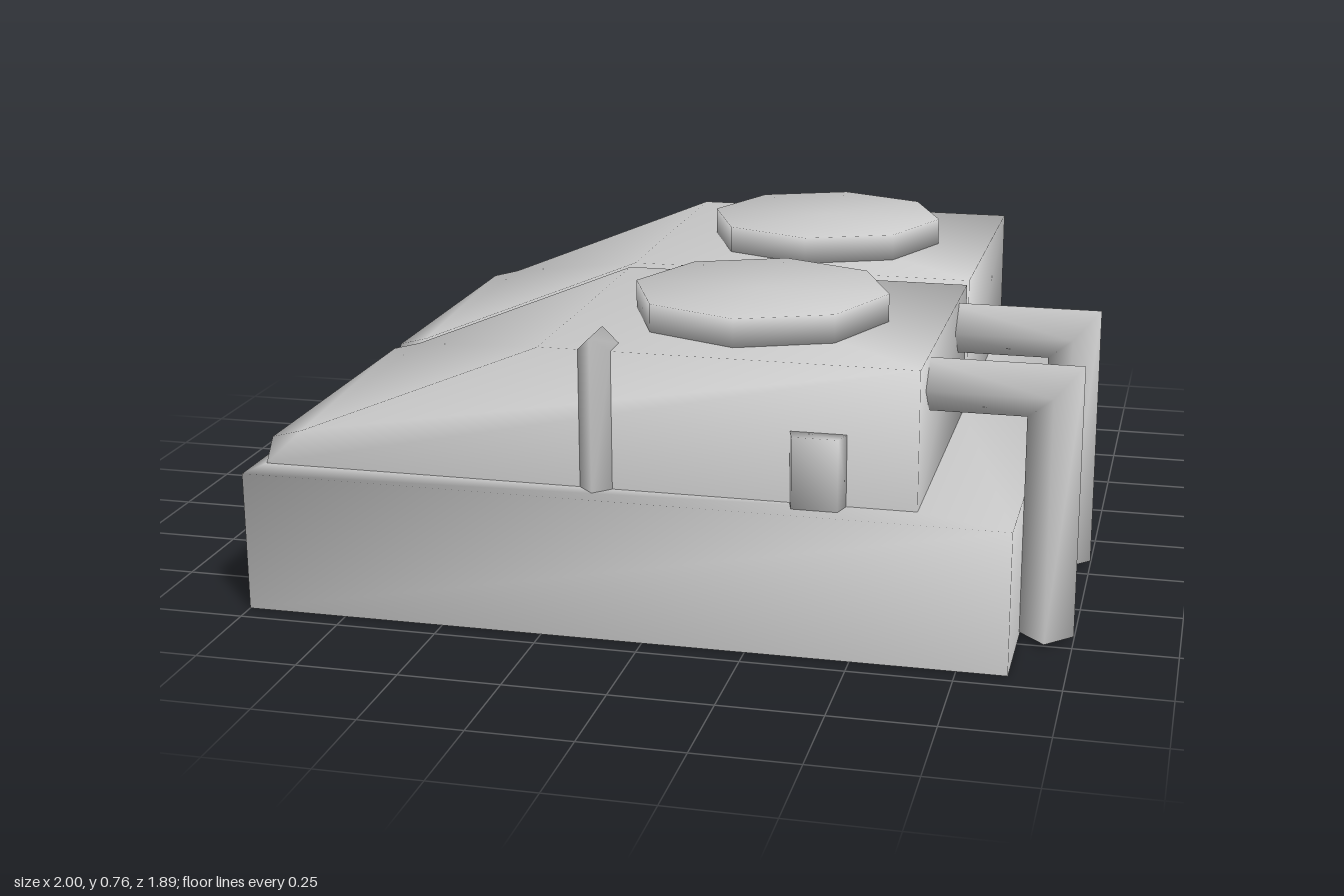
import * as THREE from 'three';
import { mergeGeometries, mergeVertices } from 'three/addons/utils/BufferGeometryUtils.js';

const material = new THREE.MeshStandardMaterial({ color: 0xcccccc, side: THREE.DoubleSide });
const BASE_TOP = 0.35;

// Triangle soup of positions, without the triangles lying flat at one of the given heights
function openAt(geometry, ...heights) {
  const p = (geometry.index ? geometry.toNonIndexed() : geometry).attributes.position.array;
  const kept = [];
  for (let i = 0; i < p.length; i += 9) {
    const flat = heights.some(h => [1, 4, 7].every(k => Math.abs(p[i + k] - h) < 1e-4));
    if (!flat) kept.push(...p.slice(i, i + 9));
  }
  return new THREE.BufferGeometry().setAttribute('position', new THREE.Float32BufferAttribute(kept, 3));
}

// Shared vertices give the soft, averaged shading
function smooth(...geometries) {
  const g = mergeVertices(mergeGeometries(geometries), 1e-4);
  g.computeVertexNormals();
  return g;
}

function polygon(points) {
  return new THREE.Shape(points.map(([x, y]) => new THREE.Vector2(x, y)));
}

function rectangle(x0, x1, y0, y1) {
  return polygon([[x0, y0], [x1, y0], [x1, y1], [x0, y1]]);
}

// Four-sided pipe with mitred bends; side is the vector across the plane of the path
function pipe(points, radius, side) {
  const path = points.map(p => new THREE.Vector3(...p));
  const normals = path.slice(1).map((p, i) => side.clone().cross(p.clone().sub(path[i]).normalize()));
  const position = [], index = [];
  path.forEach((p, i) => {
    const a = normals[Math.max(i - 1, 0)], b = normals[Math.min(i, normals.length - 1)];
    const mitre = a.clone().add(b).divideScalar(1 + a.dot(b));
    for (const [u, s] of [[1, 0], [0, 1], [-1, 0], [0, -1]]) {
      position.push(...p.clone().addScaledVector(mitre, u * radius).addScaledVector(side, s * radius).toArray());
    }
    if (i === 0) return;
    for (let k = 0; k < 4; k++) {
      const n = (k + 1) % 4, r = (i - 1) * 4;
      index.push(r + k, r + n, r + 4 + n, r + k, r + 4 + n, r + 4 + k);
    }
  });
  const e = (path.length - 1) * 4;
  index.push(0, 2, 1, 0, 3, 2, e, e + 1, e + 2, e, e + 2, e + 3);
  const g = new THREE.BufferGeometry();
  g.setAttribute('position', new THREE.Float32BufferAttribute(position, 3));
  g.setIndex(index);
  g.computeVertexNormals();
  return g;
}

export function createModel() {
  const group = new THREE.Group();
  const add = (name, geometry) => {
    const mesh = new THREE.Mesh(geometry, material);
    mesh.name = name;
    group.add(mesh);
    return mesh;
  };

  // Hollow base: four walls and a deck with an opening under each housing
  const walls = new THREE.BoxGeometry(1.87, BASE_TOP, 1.89).translate(-0.065, BASE_TOP / 2, 0);
  const deckShape = rectangle(-1, 0.87, -0.945, 0.945);
  deckShape.holes.push(rectangle(-0.975, 0.64, 0.025, 0.855), rectangle(-0.975, 0.64, -0.855, -0.025));
  const deck = new THREE.ShapeGeometry(deckShape).rotateX(-Math.PI / 2).translate(0, BASE_TOP, 0);
  add('base', smooth(openAt(walls, 0, BASE_TOP), openAt(deck)));

  // Two sloping housings, open underneath, each with an octagonal cap
  const profile = polygon([
    [-0.975, BASE_TOP], [0.64, BASE_TOP], [0.64, 0.69], [-0.27, 0.69], [-0.88, 0.44], [-0.955, 0.42],
  ]);
  for (const z of [-0.44, 0.44]) {
    const housing = new THREE.ExtrudeGeometry(profile, { depth: 0.83, bevelEnabled: false });
    housing.translate(0, 0, z - 0.415);
    add('housing', smooth(openAt(housing, BASE_TOP)));

    const cap = new THREE.CylinderGeometry(0.32, 0.32, 0.08, 8).translate(0.18, 0.72, z);
    add('roofCap', smooth(openAt(cap)));
  }

  // Two outlet pipes running down the side
  for (const z of [0.18, 0.7]) {
    add('outletPipe', pipe([[0.6, 0.615, z], [0.935, 0.615, z], [0.935, 0.01, z]], 0.065, new THREE.Vector3(0, 0, 1)));
  }

  // Thin pipe on the front wall, bending over the roof edge
  add('ventPipe', pipe([[-0.132, 0.32, 0.855], [-0.132, 0.69, 0.855], [-0.132, 0.69, 0.78]], 0.04, new THREE.Vector3(1, 0, 0)));

  // Small tapered box on the front wall
  const boxShape = polygon([[0.335, -0.845], [0.35, -0.9], [0.46, -0.9], [0.475, -0.845]]);
  const box = new THREE.ExtrudeGeometry(boxShape, { depth: 0.175, bevelEnabled: false });
  box.rotateX(-Math.PI / 2).translate(0, BASE_TOP, 0);
  add('wallBox', smooth(openAt(box)));

  return group;
}
